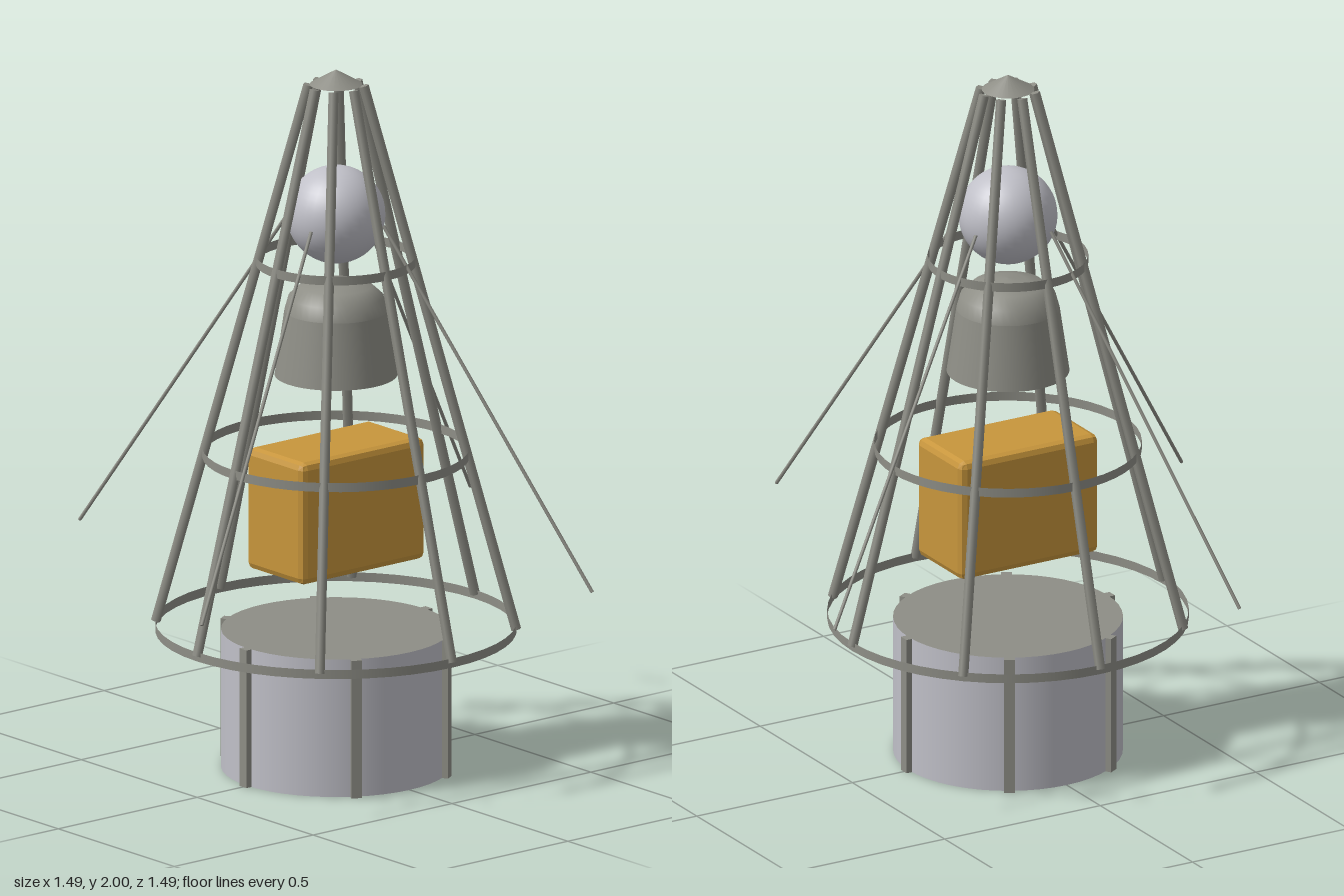
import * as THREE from 'three';
import { RoundedBoxGeometry } from 'three/addons/geometries/RoundedBoxGeometry.js';

export function createModel() {
  const model = new THREE.Group();
  const silver = new THREE.MeshStandardMaterial({ color: 0xc0c0c8 });
  const steel = new THREE.MeshStandardMaterial({ color: 0x8e8e86 });
  const gold = new THREE.MeshStandardMaterial({ color: 0xc8963c });
  silver.name = 'silver';
  steel.name = 'steel';
  gold.name = 'gold';
  const steelSheet = steel; // thin bands share the steel colour
  steelSheet.side = THREE.DoubleSide;

  const add = (name, geometry, material, x = 0, y = 0, z = 0) => {
    const mesh = new THREE.Mesh(geometry, material);
    mesh.name = name;
    mesh.position.set(x, y, z);
    model.add(mesh);
    return mesh;
  };

  // Point on a circle round the y axis
  const polar = (r, y, a) => new THREE.Vector3(r * Math.cos(a), y, r * Math.sin(a));

  // Straight rod between two points
  const rod = (name, a, b, radius, sides) => {
    const dir = b.clone().sub(a);
    const mesh = add(name, new THREE.CylinderGeometry(radius, radius, dir.length(), sides), steel);
    mesh.position.copy(a).add(b).multiplyScalar(0.5);
    mesh.quaternion.setFromUnitVectors(new THREE.Vector3(0, 1, 0), dir.normalize());
  };

  // Base drum with steel ends and six upright ribs
  add('baseDrum', new THREE.CylinderGeometry(0.318, 0.318, 0.395, 48), [silver, steel, steel], 0, 0.1975, 0);
  for (let i = 0; i < 6; i++) {
    const a = (i * Math.PI) / 3;
    const p = polar(0.32, 0.1975, a);
    add('baseRib', new THREE.BoxGeometry(0.03, 0.395, 0.03), steel, p.x, p.y, p.z).rotation.y = -a;
  }

  // Conical cage: eight struts, three open bands and a tip
  for (let i = 0; i < 8; i++) {
    const a = (i * Math.PI) / 4;
    rod('cageStrut', polar(0.5, 0.405, a), polar(0.077, 1.955, a), 0.014, 6);
  }
  for (const [r, y] of [[0.5, 0.403], [0.37, 0.903], [0.222, 1.455]]) {
    add('cageBand', new THREE.CylinderGeometry(r, r, 0.026, 48, 1, true), steelSheet, 0, y, 0);
  }
  add('cageTip', new THREE.ConeGeometry(0.073, 0.042, 24), steel, 0, 1.979, 0);

  // Equipment box with chamfered edges
  const box = new RoundedBoxGeometry(0.446, 0.35, 0.246, 1, 0.02);
  box.computeVertexNormals();
  add('equipmentBox', box, gold, 0, 0.755, 0);

  // Bell-shaped capsule: blunt underside, flared skirt, domed lid
  const lathe = (name, pts) =>
    add(name, new THREE.LatheGeometry(pts.map(([x, y]) => new THREE.Vector2(x, y)), 40), steel);
  lathe('capsuleUnderside', [[0, 1.108], [0.17, 1.125]]);
  lathe('capsuleSkirt', [[0.17, 1.125], [0.143, 1.31]]);
  lathe('capsuleLid', [[0.143, 1.31], [0.132, 1.35], [0.1, 1.38], [0.05, 1.393], [0, 1.398]]);

  // Spherical tank
  add('sphereTank', new THREE.SphereGeometry(0.137, 32, 24), silver, 0, 1.585, 0);

  // Four swept-back whip antennas
  for (let i = 0; i < 4; i++) {
    const a = -Math.PI / 8 + (i * Math.PI) / 2;
    rod('antenna', polar(0.148, 1.57, a), polar(0.8, 0.603, a), 0.005, 8);
  }
  return model;
}
